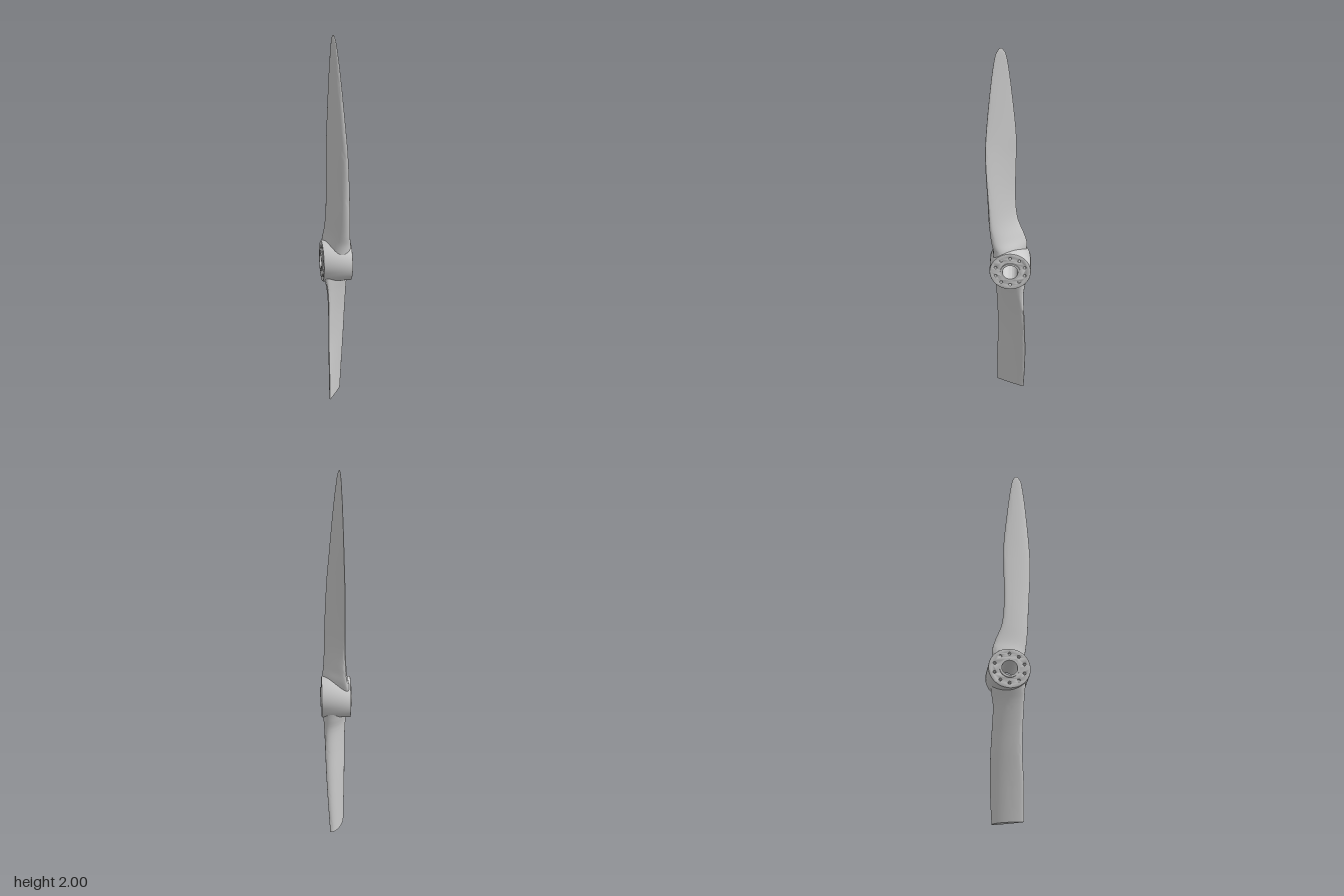
import * as THREE from 'three';
import { toCreasedNormals } from 'three/addons/utils/BufferGeometryUtils.js';

const HUB_Y = 0.793, HUB_Z = -0.008;
const RING = 32, STEPS = 60;

const material = new THREE.MeshStandardMaterial({ color: 0xcccccc });

// Stations: [y, thin edge x, z, blunt edge x, z, outer bulge, inner bulge]
const UPPER = [
  [0.84, -0.066, -0.09, 0.058, 0.07, 0.07, 0.055],
  [0.9, -0.058, -0.095, 0.058, 0.075, 0.062, 0.045],
  [0.96, -0.05, -0.08, 0.058, 0.088, 0.05, 0.028],
  [1.06, -0.047, -0.045, 0.059, 0.098, 0.042, 0.015],
  [1.2, -0.047, -0.034, 0.056, 0.105, 0.038, 0.009],
  [1.4, -0.045, -0.037, 0.046, 0.116, 0.034, 0.006],
  [1.55, -0.041, -0.036, 0.033, 0.114, 0.029, 0.005],
  [1.8, -0.034, -0.011, 0.011, 0.091, 0.018, 0.004],
  [1.95, -0.027, 0.01, -0.006, 0.07, 0.01, 0.003],
  [1.99, -0.023, 0.026, -0.014, 0.054, 0.005, 0.002],
  [2.0, -0.02, 0.036, -0.018, 0.043, 0.002, 0.001],
];
const LOWER = [
  [0.745, -0.066, 0.075, 0.058, -0.085, 0.07, 0.055],
  [0.69, -0.058, 0.074, 0.058, -0.08, 0.058, 0.04],
  [0.62, -0.05, 0.07, 0.06, -0.073, 0.047, 0.022],
  [0.5, -0.046, 0.064, 0.058, -0.08, 0.04, 0.011],
  [0.35, -0.046, 0.06, 0.053, -0.088, 0.036, 0.008],
  [0.18, -0.044, 0.067, 0.044, -0.09, 0.033, 0.006],
  [0, -0.041, 0.066, 0.033, -0.083, 0.029, 0.005],
];

// Smooth value along one column of the stations
function sample(stations, t) {
  const n = stations.length - 1;
  const i = Math.min(Math.floor(t * n), n - 1), f = t * n - i;
  const at = k => stations[Math.min(Math.max(k, 0), n)];
  return stations[0].map((_, c) => {
    const [a, b, d, e] = [at(i - 1)[c], at(i)[c], at(i + 1)[c], at(i + 2)[c]];
    return b + 0.5 * f * (d - a + f * (2 * a - 5 * b + 4 * d - e + f * (3 * (b - d) + e - a)));
  });
}

// Twisted blade lofted through cambered sections, closed at both ends
function blade(name, stations) {
  const pos = [], index = [];
  for (let r = 0; r <= STEPS; r++) {
    const [y, ax, az, bx, bz, outer, inner] = sample(stations, r / STEPS);
    const dx = bx - ax, dz = bz - az, len = Math.hypot(dx, dz);
    const nx = -Math.abs(dz) / len, nz = Math.sign(dz) * dx / len;
    for (let k = 0; k < RING; k++) {
      const a = k / RING * Math.PI * 2;
      const s = 0.5 + 0.5 * Math.cos(a), w = Math.sin(a);
      const h = w * (w > 0 ? outer : inner) * (0.85 + 0.3 * Math.cos(a));
      pos.push(ax + dx * s + nx * h, y, az + dz * s + nz * h);
    }
  }
  const quad = (a, b, c, d) => index.push(a, b, c, a, c, d);
  for (let r = 0; r < STEPS; r++) {
    for (let k = 0; k < RING; k++) {
      const a = r * RING + k, b = r * RING + (k + 1) % RING;
      quad(a, a + RING, b + RING, b);
    }
  }
  const last = STEPS * RING;
  for (let k = 1; k < RING - 1; k++) {
    index.push(0, k, k + 1);
    index.push(last, last + k + 1, last + k);
  }
  // Turn the faces outward whichever way the loft ran
  let volume = 0;
  const v = i => new THREE.Vector3(pos[3 * i], pos[3 * i + 1], pos[3 * i + 2]);
  for (let i = 0; i < index.length; i += 3) {
    volume += v(index[i]).dot(v(index[i + 1]).cross(v(index[i + 2])));
  }
  if (volume < 0) index.reverse();
  const geometry = new THREE.BufferGeometry();
  geometry.setAttribute('position', new THREE.Float32BufferAttribute(pos, 3));
  geometry.setIndex(index);
  const mesh = new THREE.Mesh(toCreasedNormals(geometry, 0.7), material);
  mesh.name = name;
  return mesh;
}

// Drilled disc along the x axis, centred on the hub
function disc(name, radius, bore, halfWidth, bevel, bolts) {
  const shape = new THREE.Shape().absarc(0, 0, radius, 0, Math.PI * 2);
  const drill = (x, y, r) => shape.holes.push(new THREE.Path().absarc(x, y, r, 0, Math.PI * 2, true));
  drill(0, 0, bore);
  for (let i = 0; i < bolts; i++) {
    const a = -Math.PI / 2 + i / bolts * Math.PI * 2;
    drill(Math.cos(a) * 0.081, Math.sin(a) * 0.081, 0.007);
  }
  const depth = 2 * (halfWidth - bevel);
  const geometry = new THREE.ExtrudeGeometry(shape, {
    depth, curveSegments: 32, bevelEnabled: bevel > 0,
    bevelThickness: bevel, bevelSize: bevel, bevelOffset: -bevel, bevelSegments: 2,
  });
  geometry.translate(0, 0, -depth / 2).rotateY(Math.PI / 2);
  const mesh = new THREE.Mesh(toCreasedNormals(geometry, 0.6), material);
  mesh.name = name;
  mesh.position.set(0, HUB_Y, HUB_Z);
  return mesh;
}

export function createModel() {
  const group = new THREE.Group();
  group.name = 'propeller';
  group.add(
    blade('upperBlade', UPPER),
    blade('lowerBlade', LOWER),
    disc('hub', 0.11, 0.044, 0.077, 0.004, 10),
    disc('boreSleeve', 0.053, 0.041, 0.083, 0, 0),
  );
  return group;
}
